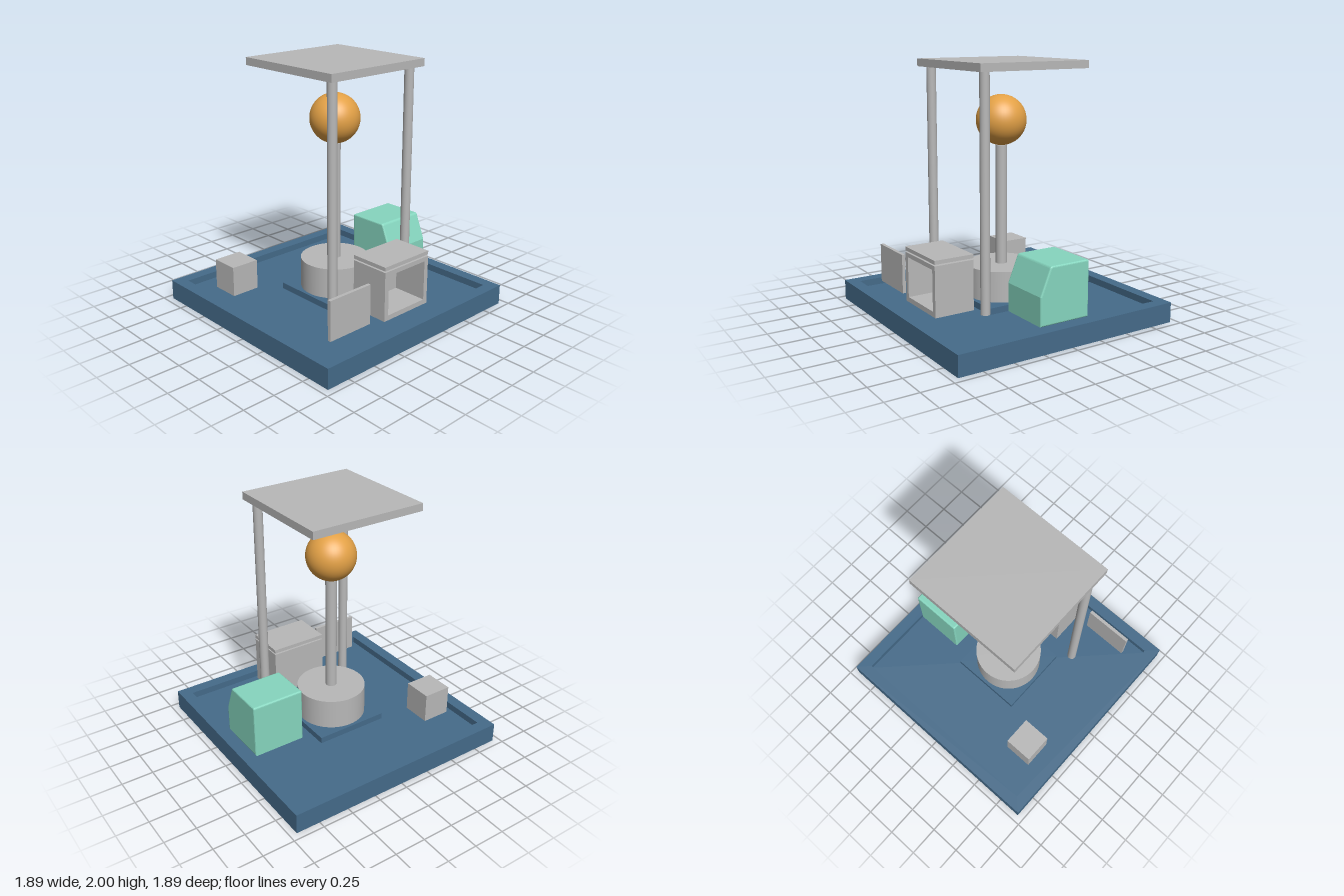
import * as THREE from 'three';

const material = (name, color) => {
  const m = new THREE.MeshStandardMaterial({ color });
  m.name = name;
  return m;
};

export function createModel() {
  const group = new THREE.Group();
  const blue = material('slate blue', 0x456b8a);
  const grey = material('light grey', 0xb8b8b8);
  const orange = material('amber', 0xe3a146);
  const mint = material('mint', 0x86d6bf);

  const add = (name, geometry, mat, x = 0, y = 0, z = 0) => {
    const mesh = new THREE.Mesh(geometry, mat);
    mesh.name = name;
    mesh.position.set(x, y, z);
    group.add(mesh);
    return mesh;
  };
  // Box given by its low and high corners
  const box = (name, mat, [x0, y0, z0], [x1, y1, z1]) =>
    add(name, new THREE.BoxGeometry(x1 - x0, y1 - y0, z1 - z0), mat,
      (x0 + x1) / 2, (y0 + y1) / 2, (z0 + z1) / 2);
  // Upright cylinder between two heights
  const post = (name, r, y0, y1, x = 0, z = 0) =>
    add(name, new THREE.CylinderGeometry(r, r, y1 - y0, 48), grey, x, (y0 + y1) / 2, z);
  const rectangle = (Type, x0, y0, x1, y1) => new Type([
    new THREE.Vector2(x0, y0), new THREE.Vector2(x1, y0),
    new THREE.Vector2(x1, y1), new THREE.Vector2(x0, y1)]);

  // Tray base: a raised rim around a sunken floor
  const B = 0.945, R = 0.85, floorY = 0.105, deckY = 0.16;
  const rim = rectangle(THREE.Shape, -B, -B, B, B);
  rim.holes.push(rectangle(THREE.Path, -R, -R, R, R));
  const rimGeometry = new THREE.ExtrudeGeometry(rim, { depth: deckY, bevelEnabled: false });
  rimGeometry.rotateX(-Math.PI / 2);
  add('baseRim', rimGeometry, blue);
  box('baseFloor', blue, [-R, 0, -R], [R, floorY, R]);
  box('centrePlinth', blue, [-0.3, floorY, -0.3], [0.3, 0.155, 0.3]);

  // Central drum, column and ball
  post('drum', 0.275, 0.155, 0.4);
  post('column', 0.045, 0.4, 1.345);
  add('ball', new THREE.SphereGeometry(0.196, 48, 32), orange, 0, 1.54, 0);

  // Canopy on two front posts
  for (const side of [-1, 1]) post('canopyPost', 0.037, deckY, 1.94, side * 0.393, 0.393);
  box('canopy', grey, [-0.472, 1.94, -0.472], [0.472, 2, 0.472]);

  // Open-fronted cabinet with a separate lid
  const front = rectangle(THREE.Shape, -0.197, deckY, 0.272, 0.553);
  front.holes.push(rectangle(THREE.Path, -0.158, 0.2, 0.233, 0.518));
  add('cabinetShell', new THREE.ExtrudeGeometry(front, { depth: 0.285, bevelEnabled: false }),
    grey, 0, 0, 0.46);
  box('cabinetBack', grey, [-0.197, deckY, 0.42], [0.272, 0.553, 0.46]);
  box('cabinetLid', grey, [-0.197, 0.565, 0.42], [0.272, 0.595, 0.745]);

  // Thin upright panel and small crate
  box('panel', grey, [-0.712, 0.178, 0.69], [-0.318, 0.492, 0.717]);
  box('crate', grey, [-0.747, deckY, -0.592], [-0.515, 0.4, -0.36]);

  // Console with a sloping front, drawn from the side and softened at its ends
  const side = new THREE.Shape();
  side.moveTo(-0.212, deckY);
  side.lineTo(0.215, deckY);
  side.lineTo(0.215, 0.58);
  side.quadraticCurveTo(0.215, 0.595, 0.2, 0.595);
  side.lineTo(-0.11, 0.595);
  side.quadraticCurveTo(-0.123, 0.595, -0.13, 0.58);
  side.lineTo(-0.212, 0.38);
  side.closePath();
  const bevel = 0.012;
  const consoleGeometry = new THREE.ExtrudeGeometry(side, {
    depth: 0.425 - 2 * bevel, curveSegments: 4,
    bevelThickness: bevel, bevelSize: bevel, bevelOffset: -bevel, bevelSegments: 3 });
  consoleGeometry.rotateY(Math.PI / 2);
  add('console', consoleGeometry, mint, 0.417 + bevel, 0, 0);

  return group;
}
